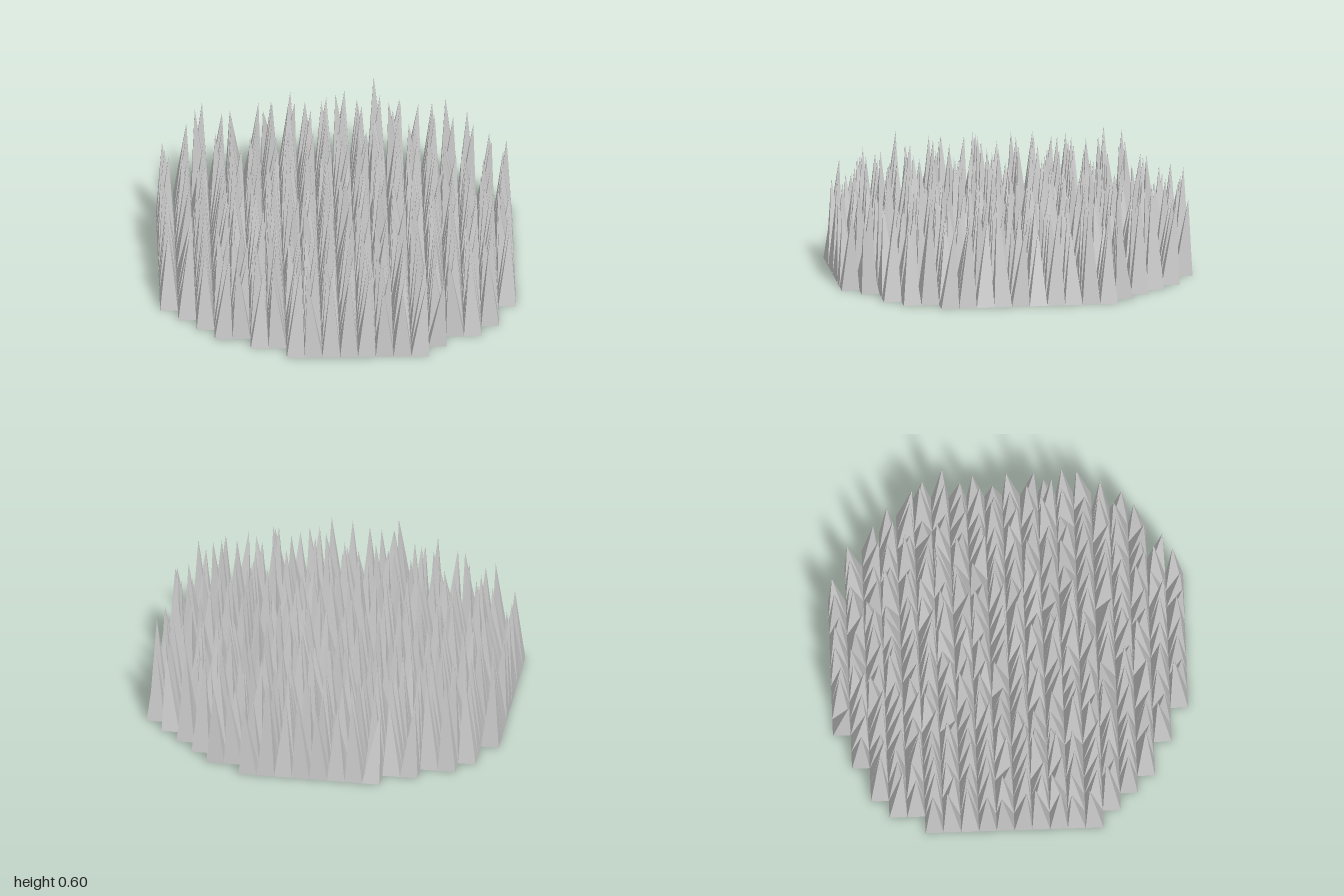
import * as THREE from 'three';

const CELL = 0.1;

// First and last x of each row of spikes, in cells, from back to front
const FULL_ROWS = Array.from({ length: 10 }, () => [-10, 10]);
const ROWS = [
  [-4, 4], [-6, 6], [-8, 7], [-9, 8], [-9, 9],
  ...FULL_ROWS,
  [-9, 9], [-8, 9], [-7, 8], [-5, 6], [-3, 5],
];

// Small seeded generator, 0 to 1
function makeRandom(seed) {
  return () => {
    seed = (seed + 0x6d2b79f5) | 0;
    let t = Math.imul(seed ^ (seed >>> 15), 1 | seed);
    t = (t + Math.imul(t ^ (t >>> 7), 61 | t)) ^ t;
    return ((t ^ (t >>> 14)) >>> 0) / 4294967296;
  };
}

// Four sides of a hollow spike, open below, with the tip off centre
function addSpike(positions, x, z, tip) {
  const corners = [
    [x, 0, z + CELL], [x + CELL, 0, z + CELL],
    [x + CELL, 0, z], [x, 0, z],
  ];
  corners.forEach((corner, i) => {
    positions.push(...corner, ...corners[(i + 1) % 4], ...tip);
  });
}

export function createModel() {
  const random = makeRandom(7);
  const material = new THREE.MeshStandardMaterial({
    color: 0xcccccc, flatShading: true, side: THREE.DoubleSide,
  });
  const group = new THREE.Group();
  group.name = 'spikeField';

  // One mesh per row of spikes
  ROWS.forEach(([first, last], row) => {
    const positions = [];
    const z = (row - 10) * CELL;
    for (let i = first; i < last; i++) {
      const x = i * CELL;
      const tip = [
        x + CELL * (0.1 + 0.8 * random()),
        0.4 + 0.2 * random(),
        z + CELL * (0.1 + 0.8 * random()),
      ];
      addSpike(positions, x, z, tip);
    }
    const geometry = new THREE.BufferGeometry();
    geometry.setAttribute('position', new THREE.Float32BufferAttribute(positions, 3));
    geometry.computeVertexNormals();
    const mesh = new THREE.Mesh(geometry, material);
    mesh.name = `spikeRow${row + 1}`;
    group.add(mesh);
  });

  return group;
}
